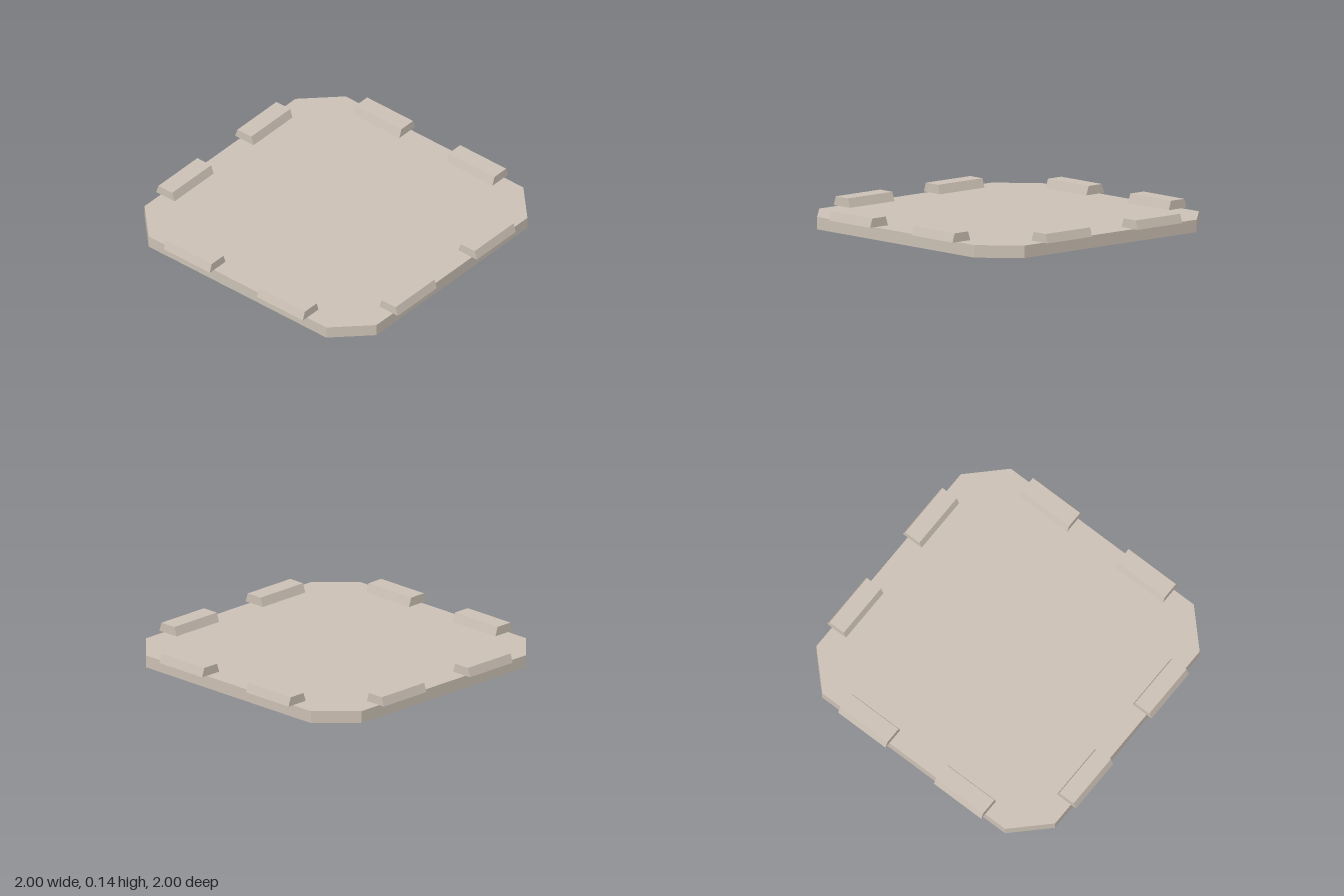
import * as THREE from 'three';

const shapeOf = (pts) => new THREE.Shape(pts.map(([x, y]) => new THREE.Vector2(x, y)));
const extrude = (pts, depth) =>
  new THREE.ExtrudeGeometry(shapeOf(pts), { depth, bevelEnabled: false });

export function createModel() {
  const model = new THREE.Group();
  model.name = 'platform';
  const stone = new THREE.MeshStandardMaterial({ color: 0xcbc0b4 });
  stone.name = 'warm stone';

  // Square slab with cut corners
  const half = 0.96, cut = 0.735, slabTop = 0.08;
  const outline = [
    [half, -cut], [half, cut], [cut, half], [-cut, half],
    [-half, cut], [-half, -cut], [-cut, -half], [cut, -half],
  ];
  const slab = new THREE.Mesh(extrude(outline, slabTop).rotateX(-Math.PI / 2), stone);
  slab.name = 'slab';
  model.add(slab);

  // Sloped rim blocks, two along each side, overhanging the slab edge
  const length = 0.38, offset = 0.385;
  const section = [[0.848, slabTop], [1, slabTop], [0.981, 0.138], [0.867, 0.138]];
  const blockGeometry = extrude(section, length).translate(0, 0, -length / 2);
  ['left', 'back', 'right', 'front'].forEach((side, i) => {
    const rim = new THREE.Group();
    rim.name = `${side}Rim`;
    rim.rotation.y = (i * Math.PI) / 2;
    for (const s of [-1, 1]) {
      const block = new THREE.Mesh(blockGeometry, stone);
      block.name = 'rimBlock';
      block.position.z = s * offset;
      rim.add(block);
    }
    model.add(rim);
  });

  return model;
}
